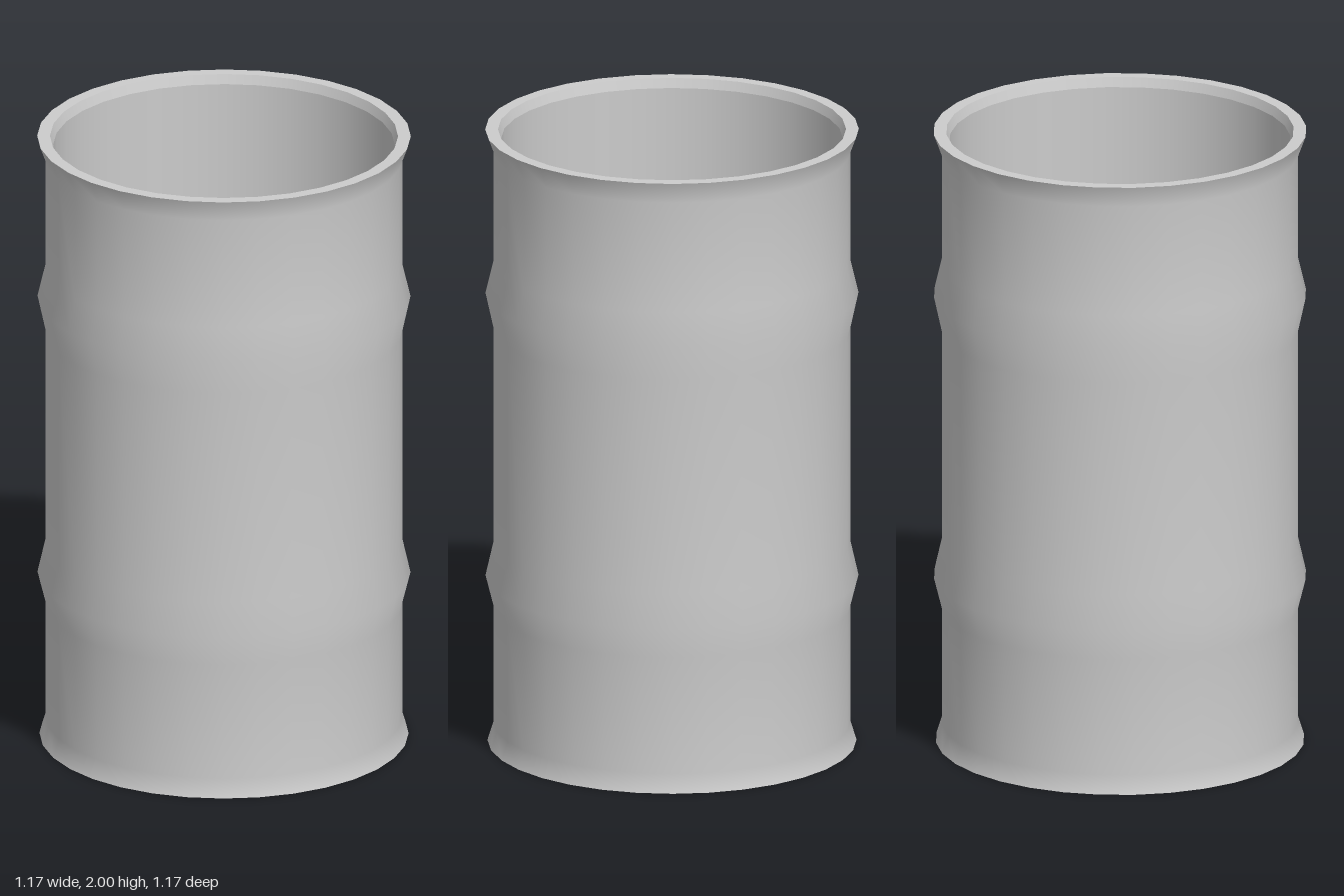
import * as THREE from 'three';

const SIDES = 32;

export function createModel() {
  const group = new THREE.Group();
  group.name = 'openDrum';
  const material = new THREE.MeshStandardMaterial({ color: 0xcccccc });

  // Each band is its own lathe, so bands are smooth inside and sharp where they meet.
  // Outer faces run upwards; inner faces and the top run inwards and down.
  const addBand = (name, profile) => {
    const points = profile.map(([r, y]) => new THREE.Vector2(r, y));
    const mesh = new THREE.Mesh(new THREE.LatheGeometry(points, SIDES), material);
    mesh.name = name;
    group.add(mesh);
  };

  // Outer shell with flared ends and two rolling hoops
  addBand('outerShell', [
    [0.578, 0], [0.559, 0.06], [0.559, 0.44], [0.584, 0.54], [0.559, 0.65],
    [0.559, 1.35], [0.584, 1.465], [0.559, 1.57], [0.559, 1.93], [0.585, 2],
  ]);

  // Rim and hollow inside
  addBand('topRim', [[0.585, 2], [0.545, 2]]);
  addBand('rimBevel', [[0.545, 2], [0.535, 1.97]]);
  addBand('innerWall', [[0.535, 1.97], [0.535, 0.08]]);
  addBand('innerFloor', [[0.535, 0.08], [0, 0.08]]);

  // Underside with a dished recess
  addBand('recessFloor', [[0, 0.06], [0.368, 0.06]]);
  addBand('recessSlope', [[0.368, 0.06], [0.487, 0]]);
  addBand('baseRing', [[0.487, 0], [0.578, 0]]);

  return group;
}
